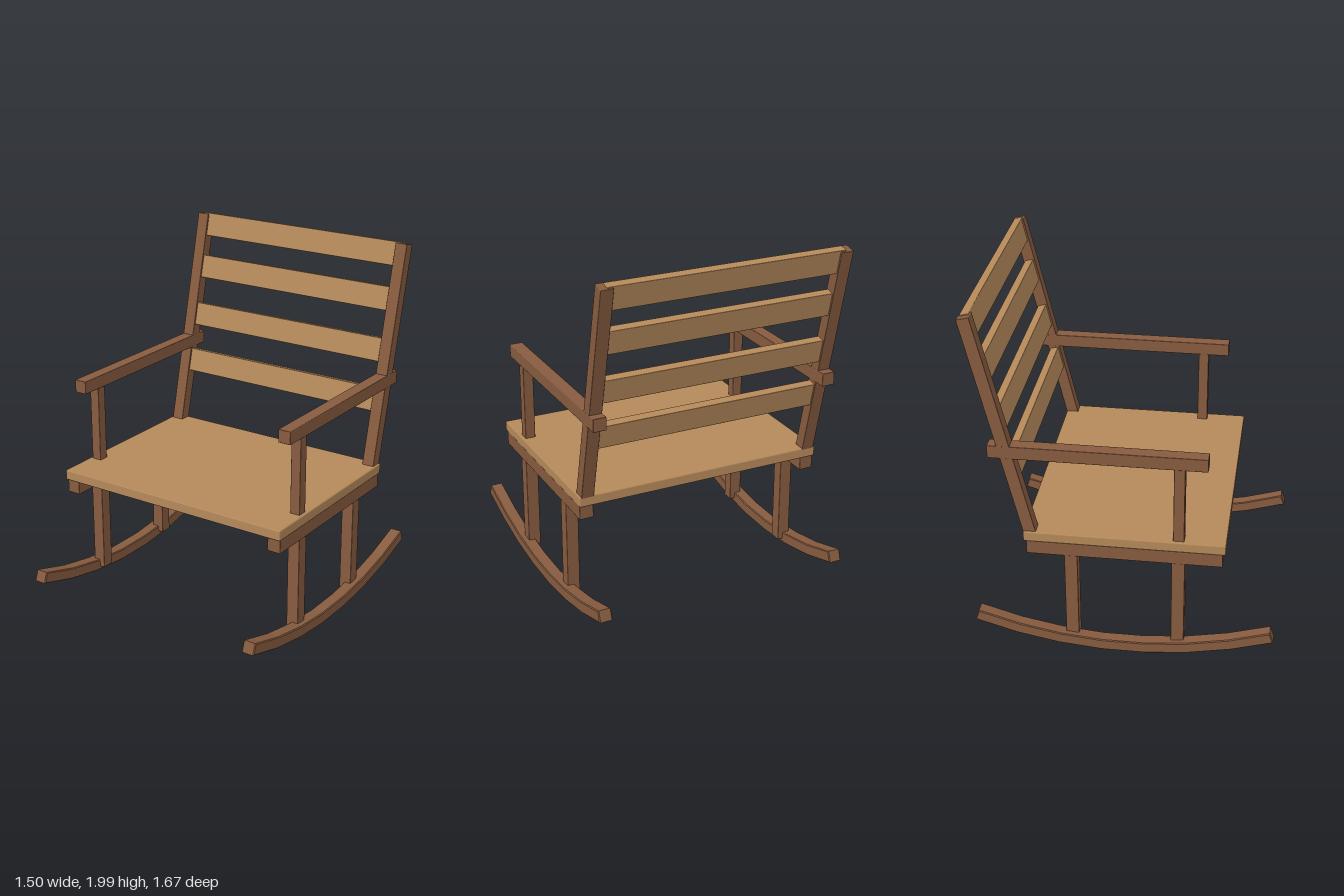
import * as THREE from 'three';
import { RoundedBoxGeometry } from 'three/addons/geometries/RoundedBoxGeometry.js';

export function createModel() {
  const chair = new THREE.Group();
  chair.name = 'rockingChair';

  const darkWood = new THREE.MeshStandardMaterial({ color: 0x875b3f });
  darkWood.name = 'dark wood';
  const lightWood = new THREE.MeshStandardMaterial({ color: 0xb5895a });
  lightWood.name = 'light wood';

  const add = (parent, name, geometry, material, x, y, z) => {
    const mesh = new THREE.Mesh(geometry, material);
    mesh.name = name;
    mesh.position.set(x, y, z);
    parent.add(mesh);
    return mesh;
  };
  // Timber with very slightly eased edges
  const timber = (w, h, d, r = 0.004) => new RoundedBoxGeometry(w, h, d, 1, r);

  // Rocker profile: a seven-segment arc band, drawn as (z, y)
  const segments = 7, radius = 2.5, thickness = 0.066, bevel = 0.005;
  const halfAngle = 0.338;
  const arc = (r) => Array.from({ length: segments + 1 }, (_, i) => {
    const a = halfAngle * (2 * i / segments - 1);
    return new THREE.Vector2(r * Math.sin(a), radius + 0.004 - r * Math.cos(a));
  });
  const rockerShape = new THREE.Shape([
    ...arc(radius - bevel), ...arc(radius - thickness + bevel).reverse(),
  ]);
  const rockerWidth = 0.075;
  const rockerGeometry = new THREE.ExtrudeGeometry(rockerShape, {
    depth: rockerWidth - 2 * bevel, bevelEnabled: true,
    bevelSize: bevel, bevelThickness: bevel, bevelSegments: 1,
  });
  rockerGeometry.translate(0, 0, bevel - rockerWidth / 2);
  rockerGeometry.rotateY(-Math.PI / 2);

  // Seat board and the cross rail joining the front legs
  add(chair, 'seat', timber(1.45, 0.06, 1.1, 0.008), lightWood, 0, 0.715, 0.005);
  add(chair, 'frontCrossRail', timber(1.3, 0.07, 0.05), darkWood, 0, 0.655, 0.3);

  // Both side frames
  for (const [side, s] of [['left', 1], ['right', -1]]) {
    const frame = new THREE.Group();
    frame.name = side + 'SideFrame';
    chair.add(frame);
    add(frame, 'rocker', rockerGeometry, darkWood, s * 0.711, 0, 0);
    add(frame, 'frontLeg', timber(0.073, 0.6, 0.073), darkWood, s * 0.678, 0.35, 0.3);
    add(frame, 'backLeg', timber(0.073, 0.6, 0.073), darkWood, s * 0.678, 0.35, -0.287);
    add(frame, 'sideRail', timber(0.08, 0.082, 1.07), darkWood, s * 0.68, 0.646, 0.005);
    add(frame, 'armPost', timber(0.06, 0.47, 0.06), darkWood, s * 0.678, 0.965, 0.3);
    add(frame, 'armrest', timber(0.075, 0.075, 1.17), darkWood, s * 0.678, 1.227, -0.135);
  }

  // Reclined back: everything lies along one tilted centre line
  const tilt = 0.232, midY = 1.3;
  const back = new THREE.Group();
  back.name = 'backrest';
  back.position.set(0, midY, -0.642);
  back.rotation.x = -tilt;
  chair.add(back);
  const along = (y) => (y - midY) / Math.cos(tilt);

  const low = along(0.612), high = along(1.988);
  for (const [side, s] of [['left', 1], ['right', -1]]) {
    add(back, side + 'BackPost', timber(0.073, high - low, 0.07), darkWood,
      s * 0.678, (low + high) / 2, 0);
  }
  [1.927, 1.677, 1.39, 1.11].forEach((y, i) => {
    add(back, 'backSlat' + (i + 1), timber(1.35, 0.138, 0.05), lightWood, 0, along(y), 0);
  });

  return chair;
}
